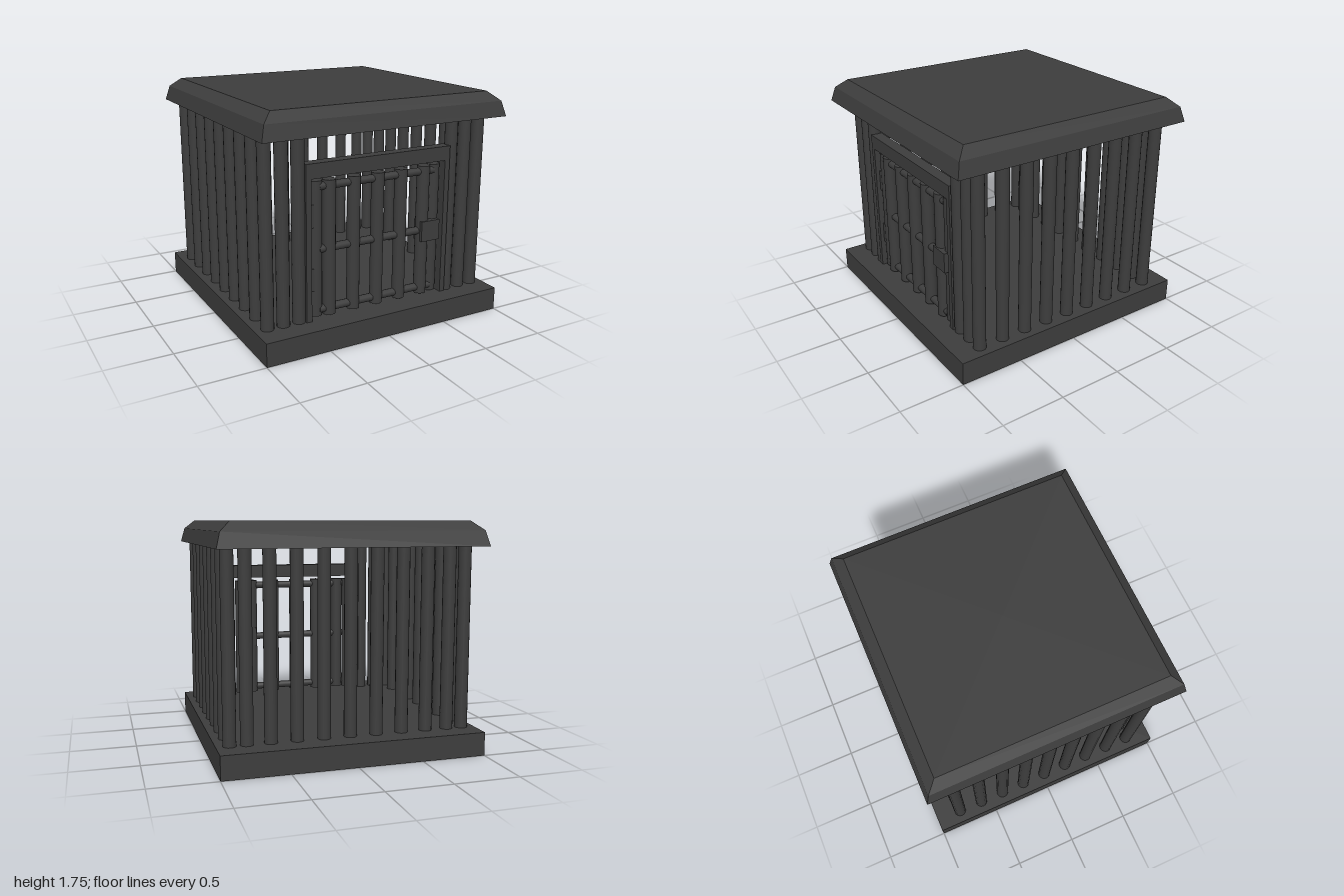
import * as THREE from 'three';

export function createModel() {
  const iron = new THREE.MeshStandardMaterial({ color: 0x3d3d3d });
  iron.name = 'dark iron';
  const cage = new THREE.Group();
  cage.name = 'cage';

  const add = (parent, name, geometry, x, y, z) => {
    const mesh = new THREE.Mesh(geometry, iron);
    mesh.name = name;
    mesh.position.set(x, y, z);
    parent.add(mesh);
    return mesh;
  };
  // Box given by its limits on each axis
  const box = (parent, name, [x0, x1], [y0, y1], [z0, z1]) =>
    add(parent, name, new THREE.BoxGeometry(x1 - x0, y1 - y0, z1 - z0),
      (x0 + x1) / 2, (y0 + y1) / 2, (z0 + z1) / 2);
  // Upright round bar
  const bar = (parent, name, x, z, y0, y1, r = 0.049) =>
    add(parent, name, new THREE.CylinderGeometry(r, r, y1 - y0, 16), x, (y0 + y1) / 2, z);

  // Floor slab
  box(cage, 'base', [-1, 1], [0, 0.18], [-1, 1]);

  // Square roof with two bevels: a four-sided lathe with flat faces
  const profile = [[0, 1.57], [1, 1.57], [0.97, 1.685], [0.89, 1.755], [0, 1.755]]
    .map(([half, y]) => new THREE.Vector2(half * Math.SQRT2, y));
  const roof = new THREE.LatheGeometry(profile, 4, Math.PI / 4).toNonIndexed();
  roof.computeVertexNormals();
  add(cage, 'roof', roof, 0, 0, 0);

  // Wall bars
  const bottom = 0.17, top = 1.58;
  for (const s of [-1, 1]) {
    for (let i = -4; i <= 4; i++) bar(cage, 'sideBar', s * 0.9, i * 0.199, bottom, top);
    for (const x of [0.775, 0.65]) bar(cage, 'frontBar', s * x, 0.797, bottom, top);
    for (const x of [0.775, 0.6]) bar(cage, 'backBar', s * x, -0.797, bottom, top);
  }
  for (let i = -2; i <= 2; i++) bar(cage, 'backBar', i * 0.202, -0.797, bottom, top);

  // Door frame
  const frame = new THREE.Group();
  frame.name = 'doorFrame';
  cage.add(frame);
  const depth = [0.755, 0.845];
  box(frame, 'lintel', [-0.61, 0.61], [1.245, 1.355], depth);
  box(frame, 'leftPost', [0.567, 0.61], [0.17, 1.245], depth);
  box(frame, 'rightPost', [-0.61, -0.567], [0.17, 1.245], depth);

  // Barred door
  const door = new THREE.Group();
  door.name = 'door';
  cage.add(door);
  for (let i = -2; i <= 2; i++) bar(door, 'doorBar', i * 0.202, 0.797, 0.2, 1.22);
  for (const s of [-1, 1]) bar(door, 'doorStile', s * 0.505, 0.773, 0.2, 1.22, 0.052);
  for (const y of [0.245, 0.71, 1.175]) {
    const rod = new THREE.CylinderGeometry(0.03, 0.03, 0.98, 12);
    rod.rotateZ(Math.PI / 2);
    add(door, 'crossRod', rod, 0, y, 0.797);
  }
  box(door, 'lock', [0.368, 0.53], [0.63, 0.79], [0.75, 0.855]);
  for (const y of [0.4, 0.88]) box(door, 'hinge', [-0.575, -0.53], [y, y + 0.17], [0.765, 0.815]);

  return cage;
}
